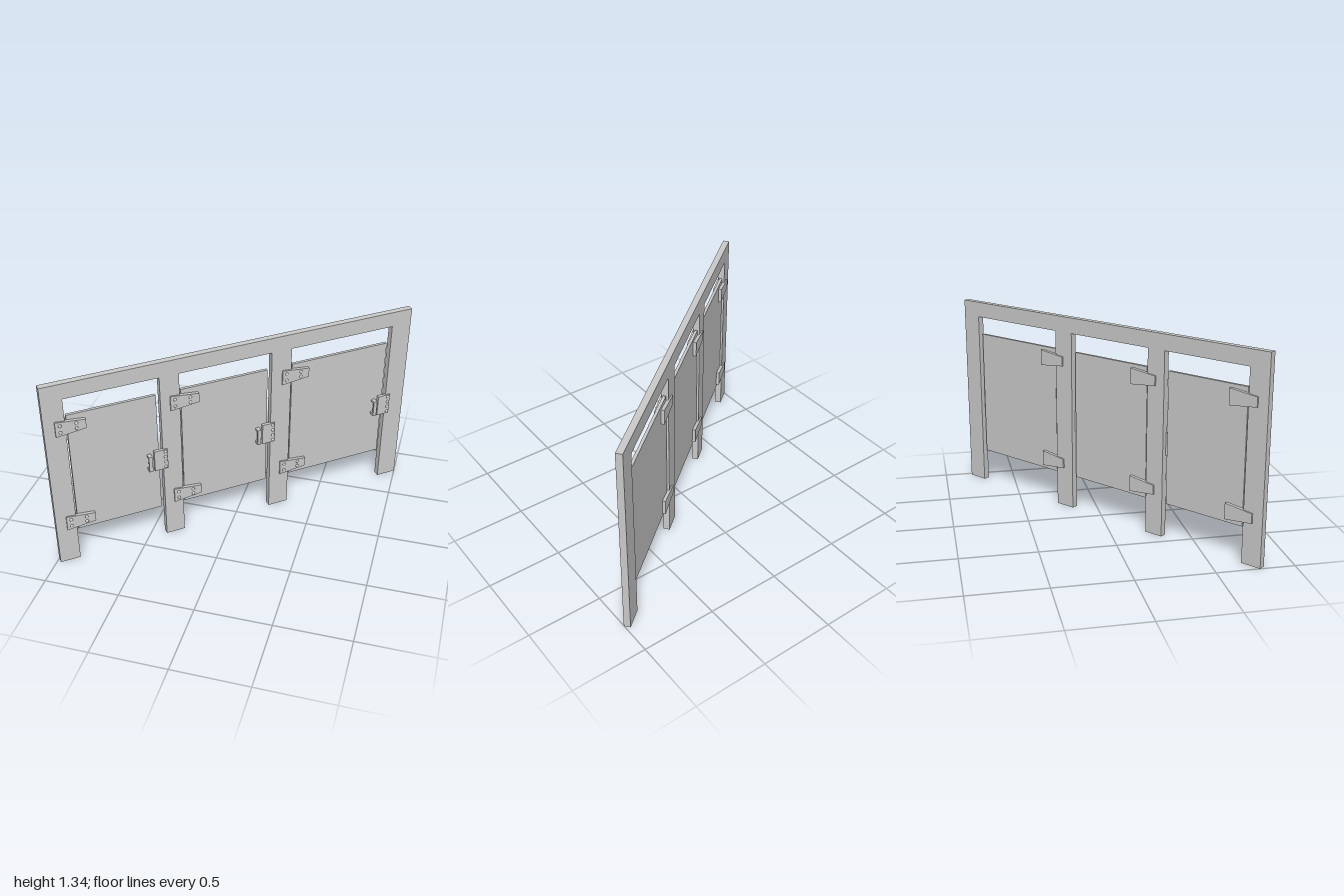
import * as THREE from 'three';

const mat = new THREE.MeshStandardMaterial({ color: 0xcccccc });
const LENGTH = 2.532, THICK = 0.043, HEIGHT = 1.34, BEAM_Y = 1.235;
const ANGLE = 0.676; // the wall runs diagonally
const END = LENGTH / 2, FACE = THICK / 2;
const POSTS = [[-END, -1.132], [-0.524, -0.395], [0.24, 0.381], [1.125, END]];

function add(parent, geometry, name, x = 0, y = 0, z = 0) {
  const mesh = new THREE.Mesh(geometry, mat);
  mesh.name = name;
  mesh.position.set(x, y, z);
  parent.add(mesh);
  return mesh;
}

// box given by its limits on each axis
function block(parent, name, [x0, x1], [y0, y1], [z0, z1]) {
  return add(parent, new THREE.BoxGeometry(x1 - x0, y1 - y0, z1 - z0), name,
    (x0 + x1) / 2, (y0 + y1) / 2, (z0 + z1) / 2);
}

// domed bolt head facing +z
const boltGeometry = new THREE.SphereGeometry(0.011, 12, 5, 0, Math.PI * 2, 0, Math.PI / 2)
  .rotateX(Math.PI / 2).scale(1, 1, 0.75);

// posts and top rail as one comb-shaped outline
function frame() {
  const shape = new THREE.Shape();
  shape.moveTo(END, HEIGHT);
  shape.lineTo(-END, HEIGHT);
  POSTS.forEach(([a, b], i) => {
    if (i > 0) shape.lineTo(a, BEAM_Y);
    shape.lineTo(a, 0);
    shape.lineTo(b, 0);
    if (i < POSTS.length - 1) shape.lineTo(b, BEAM_Y);
  });
  shape.closePath();
  return new THREE.ExtrudeGeometry(shape, { depth: THICK, bevelEnabled: false }).translate(0, 0, -FACE);
}

// tapered hinge plate, tall at -x and short at +x
function hingePlate() {
  const shape = new THREE.Shape([
    new THREE.Vector2(-0.096, -0.053), new THREE.Vector2(0.096, -0.032),
    new THREE.Vector2(0.096, 0.032), new THREE.Vector2(-0.096, 0.053),
  ]);
  return new THREE.ExtrudeGeometry(shape, { depth: 0.023, bevelEnabled: false }).translate(0, 0, 0.009);
}

// front plate with bolts, and the same plate turned round on the back
function hinge(x, y) {
  const g = new THREE.Group();
  g.name = 'hinge';
  g.position.set(x, y, 0);
  const plate = hingePlate();
  add(g, plate, 'hingeFrontPlate');
  add(g, plate, 'hingeBackPlate').rotation.y = Math.PI;
  for (const [bx, by] of [[-0.066, 0.024], [-0.066, -0.024], [0.036, 0.018], [0.036, -0.018]])
    add(g, boltGeometry, 'hingeBolt', bx, by, 0.032);
  return g;
}

// latch plate across the gap, with a U-shaped pull on the door
function latch(x) {
  const g = new THREE.Group();
  g.name = 'latch';
  g.position.x = x;
  block(g, 'latchPlate', [-0.061, 0.03], [0.55, 0.7], [0.01, 0.031]);
  for (let i = 0; i < 4; i++) add(g, boltGeometry, 'latchBolt', 0.014, 0.567 + i * 0.039, 0.031);
  block(g, 'handleGrip', [-0.105, -0.08], [0.565, 0.68], [0.038, 0.05]);
  for (const y of [0.565, 0.665])
    block(g, 'handleArm', [-0.105, -0.08], [y, y + 0.015], [0.008, 0.038]);
  return g;
}

export function createModel() {
  const model = new THREE.Group();
  model.name = 'stallFront';
  const wall = new THREE.Group();
  wall.name = 'wall';
  wall.rotation.y = ANGLE;
  model.add(wall);

  add(wall, frame(), 'frame');

  // a door in each opening
  for (let i = 0; i < 3; i++) {
    const left = POSTS[i][1], right = POSTS[i + 1][0];
    block(wall, 'door', [left + 0.012, right - 0.024], [0.232, 1.11], [-0.01, 0.01]);
    for (const y of [0.31, 1.035]) wall.add(hinge(left + 0.031, y));
    wall.add(latch(right));
  }
  return model;
}
